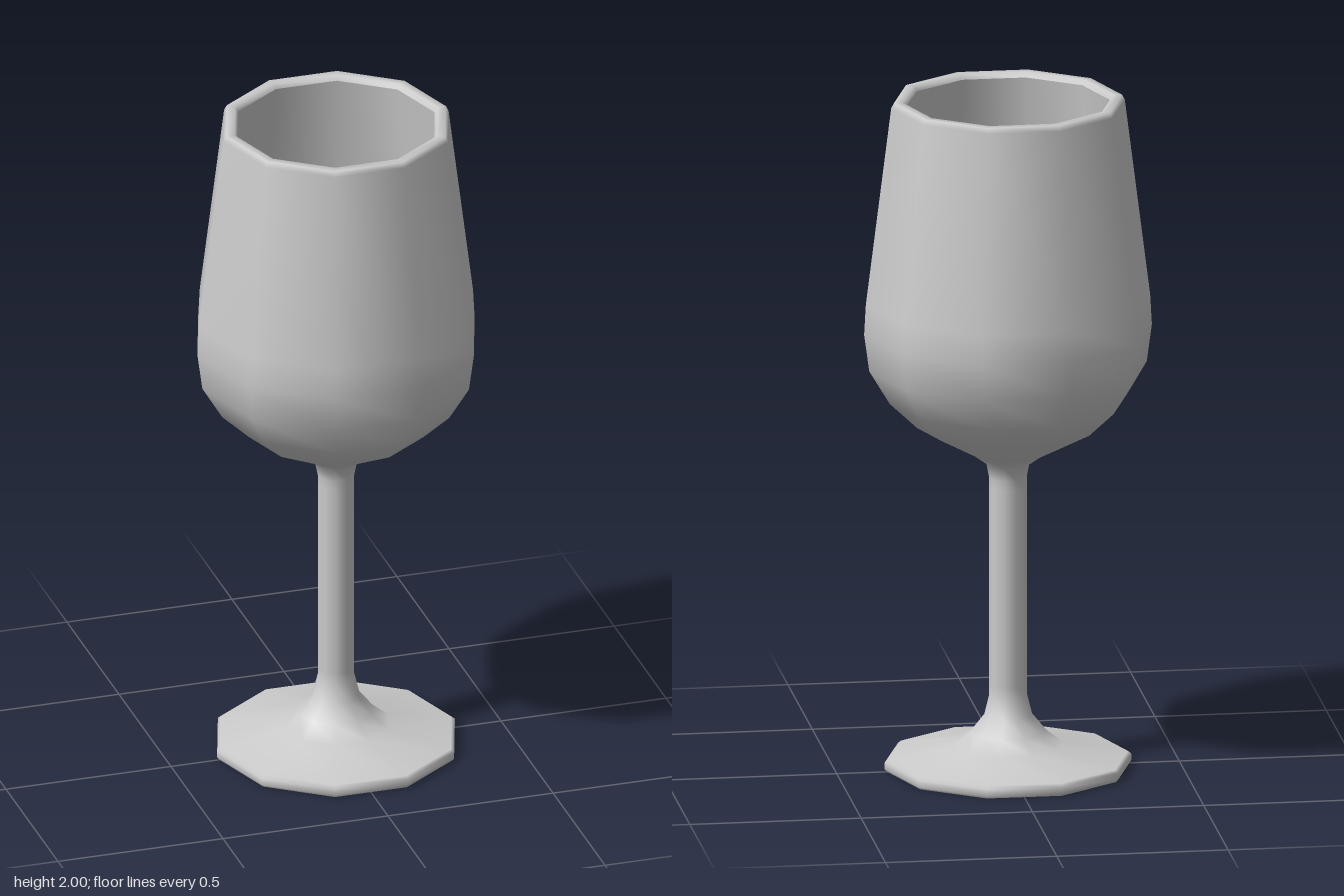
import * as THREE from 'three';

const SIDES = 10;
const material = new THREE.MeshStandardMaterial({ color: 0xcccccc });

// Ten-sided turned part from [radius, height] pairs, with a corner on the x axis
function turned(name, profile) {
  const points = profile.map(([r, y]) => new THREE.Vector2(r, y));
  const mesh = new THREE.Mesh(new THREE.LatheGeometry(points, SIDES, Math.PI / 2), material);
  mesh.name = name;
  return mesh;
}

export function createModel() {
  const glass = new THREE.Group();
  glass.name = 'wineGlass';

  // Flat underside of the foot
  glass.add(turned('footUnderside', [[0, 0], [0.353, 0]]));

  // Foot: thin rounded edge, flaring up into the stem
  glass.add(turned('foot', [
    [0.353, 0], [0.36, 0.008], [0.36, 0.028], [0.35, 0.036], [0.16, 0.07],
    [0.11, 0.11], [0.07, 0.16], [0.055, 0.22], [0.055, 0.25],
  ]));

  // Straight stem
  glass.add(turned('stem', [[0.055, 0.25], [0.055, 0.84]]));

  // Outside of the bowl, ending in a softly rounded rim
  glass.add(turned('bowlOutside', [
    [0.055, 0.84], [0.055, 0.87], [0.063, 0.91], [0.105, 0.94], [0.265, 1.025],
    [0.345, 1.1], [0.405, 1.2], [0.42, 1.31], [0.415, 1.4],
    [0.341, 1.985], [0.333, 2], [0.307, 2], [0.299, 1.985],
  ]));

  // Hollow inside of the bowl
  glass.add(turned('bowlInside', [
    [0.299, 1.985], [0.375, 1.4], [0.38, 1.31], [0.366, 1.21],
    [0.315, 1.125], [0.245, 1.06], [0.1, 0.985], [0, 0.97],
  ]));

  return glass;
}
